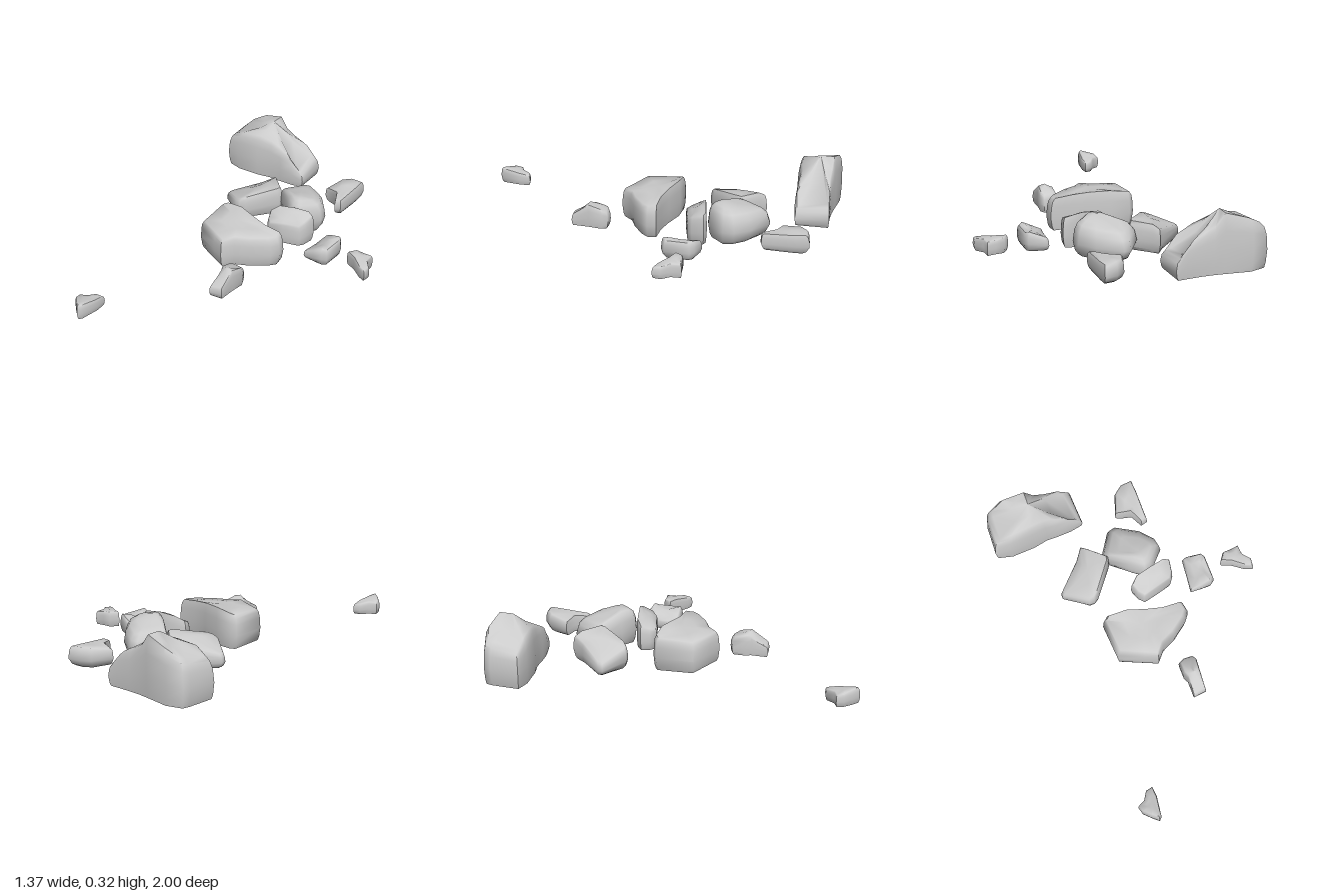
import * as THREE from 'three';
import { toCreasedNormals } from 'three/addons/utils/BufferGeometryUtils.js';

// Each rock: summit [x, z, y], scale of its base and top rim against the widest
// outline, and that outline clockwise as [x, z, rim height]
const ROCKS = {
  largeBackBoulder: {
    summit: [-0.43, -0.89, 0.325], base: 0.95, top: 0.82,
    outline: [
      [-0.68, -0.93, 0.24], [-0.67, -0.97, 0.25], [-0.58, -1, 0.29], [-0.43, -0.985, 0.325], [-0.37, -0.98, 0.26],
      [-0.3, -0.98, 0.23], [-0.22, -0.985, 0.2], [-0.16, -0.99, 0.13], [-0.15, -0.8, 0.11], [-0.22, -0.785, 0.19],
      [-0.3, -0.78, 0.225], [-0.37, -0.78, 0.245], [-0.46, -0.76, 0.265], [-0.6, -0.75, 0.255], [-0.685, -0.77, 0.22],
    ],
  },
  largeFrontBoulder: {
    summit: [-0.06, -0.04, 0.195], base: 0.93, top: 0.9,
    outline: [
      [-0.255, -0.14, 0.19], [-0.23, -0.16, 0.2], [-0.12, -0.155, 0.212], [0, -0.12, 0.205], [0.1, -0.1, 0.195],
      [0.21, -0.1, 0.185], [0.22, -0.05, 0.18], [0.19, -0.01, 0.18], [0.1, 0.06, 0.18], [0.02, 0.1, 0.18],
      [-0.03, 0.16, 0.175], [-0.1, 0.13, 0.175], [-0.24, 0.07, 0.18],
    ],
  },
  middleRock: {
    summit: [0.075, -0.45, 0.207], base: 0.78, top: 0.55,
    outline: [
      [-0.04, -0.68, 0.17], [0, -0.69, 0.17], [0.13, -0.61, 0.185], [0.2, -0.53, 0.19], [0.21, -0.47, 0.195],
      [0.12, -0.37, 0.2], [0.08, -0.36, 0.2], [0, -0.42, 0.2], [-0.12, -0.52, 0.18], [-0.12, -0.55, 0.175],
    ],
  },
  leftSlabRock: {
    summit: [-0.23, -0.47, 0.15], base: 0.86, top: 0.9,
    outline: [
      [-0.22, -0.63, 0.14], [-0.19, -0.6, 0.16], [-0.09, -0.51, 0.165], [-0.1, -0.48, 0.165], [-0.22, -0.32, 0.14],
      [-0.25, -0.3, 0.13], [-0.28, -0.3, 0.12], [-0.41, -0.395, 0.08], [-0.41, -0.42, 0.08], [-0.27, -0.56, 0.12],
    ],
  },
  wedgeRock: {
    summit: [0.1, -0.3, 0.165], base: 0.9, top: 0.9,
    outline: [
      [-0.03, -0.3, 0.15], [0.01, -0.335, 0.175], [0.12, -0.36, 0.185], [0.2, -0.38, 0.18], [0.23, -0.37, 0.17],
      [0.22, -0.3, 0.15], [0.2, -0.27, 0.13], [0.1, -0.24, 0.13], [0.02, -0.22, 0.12], [-0.01, -0.25, 0.13],
    ],
  },
  rightBlockStone: {
    summit: [0.37, -0.28, 0.09], base: 0.82, top: 0.87,
    outline: [
      [0.31, -0.38, 0.07], [0.33, -0.385, 0.08], [0.42, -0.365, 0.11], [0.435, -0.34, 0.1], [0.435, -0.2, 0.1],
      [0.41, -0.18, 0.11], [0.35, -0.18, 0.085], [0.29, -0.185, 0.06], [0.3, -0.27, 0.06],
    ],
  },
  farRightStone: {
    summit: [0.6, -0.285, 0.082], base: 0.92, top: 0.88,
    outline: [
      [0.51, -0.29, 0.085], [0.54, -0.335, 0.085], [0.59, -0.34, 0.08], [0.64, -0.35, 0.075], [0.645, -0.29, 0.075],
      [0.685, -0.245, 0.07], [0.68, -0.2, 0.065], [0.64, -0.215, 0.07], [0.57, -0.265, 0.08],
    ],
  },
  backStone: {
    summit: [0.15, -0.77, 0.1], base: 0.76, top: 0.88,
    outline: [
      [0.04, -0.77, 0.09], [0.08, -0.89, 0.11], [0.13, -0.93, 0.115], [0.2, -0.94, 0.11], [0.205, -0.87, 0.105],
      [0.205, -0.68, 0.095], [0.17, -0.67, 0.09], [0.13, -0.75, 0.1],
    ],
  },
  frontStone: {
    summit: [0.12, 0.3, 0.138], base: 0.92, top: 0.82,
    outline: [
      [0.07, 0.205, 0.105], [0.1, 0.19, 0.105], [0.155, 0.19, 0.1], [0.17, 0.22, 0.115], [0.162, 0.3, 0.13],
      [0.16, 0.4, 0.075], [0.085, 0.41, 0.065], [0.085, 0.31, 0.115], [0.07, 0.28, 0.12],
    ],
  },
  outlyingStone: {
    summit: [-0.345, 0.9, 0.075], base: 0.9, top: 0.86,
    outline: [
      [-0.42, 0.89, 0.07], [-0.38, 0.87, 0.07], [-0.35, 0.82, 0.065], [-0.31, 0.81, 0.06], [-0.305, 0.87, 0.07],
      [-0.32, 0.985, 0.085], [-0.335, 1, 0.09], [-0.37, 0.97, 0.085], [-0.41, 0.93, 0.08],
    ],
  },
};

// Loft the scaled sections around the summit, then close top and bottom
function rockGeometry({ summit: [cx, cz, cy], base, top, outline }) {
  const n = outline.length;
  const positions = [];
  const index = [];
  const blend = THREE.MathUtils.lerp;
  // Sections from the ground up: [outline scale, fraction of rim height]
  const sections = [
    [base, 0], [blend(base, 1, 0.55), 0.12], [1, 0.4],
    [blend(1, top, 0.15), 0.72], [blend(1, top, 0.45), 0.9], [top, 1],
  ];
  for (const [scale, rise] of sections) {
    for (const [x, z, h] of outline) {
      positions.push(cx + (x - cx) * scale, h * rise, cz + (z - cz) * scale);
    }
  }
  // Inner ring keeps the crown broad before it closes on the summit
  for (const [x, z, h] of outline) {
    positions.push(cx + (x - cx) * top * 0.5, blend(h, cy, 0.4), cz + (z - cz) * top * 0.5);
  }
  const rings = sections.length + 1;
  const peak = rings * n;
  positions.push(cx, cy, cz, cx, 0, cz);
  for (let i = 0; i < n; i++) {
    const j = (i + 1) % n;
    for (let r = 0; r < rings - 1; r++) {
      const a = r * n + i, b = r * n + j;
      index.push(a, a + n, b, b, a + n, b + n);
    }
    index.push(peak, peak - n + j, peak - n + i);
    index.push(peak + 1, i, j);
  }
  const geometry = new THREE.BufferGeometry();
  geometry.setAttribute('position', new THREE.Float32BufferAttribute(positions, 3));
  geometry.setIndex(index);
  return toCreasedNormals(geometry, 1.1);
}

export function createModel() {
  const group = new THREE.Group();
  group.name = 'scatteredRocks';
  const material = new THREE.MeshStandardMaterial({ color: 0xcccccc });
  for (const [name, rock] of Object.entries(ROCKS)) {
    const mesh = new THREE.Mesh(rockGeometry(rock), material);
    mesh.name = name;
    group.add(mesh);
  }
  return group;
}
